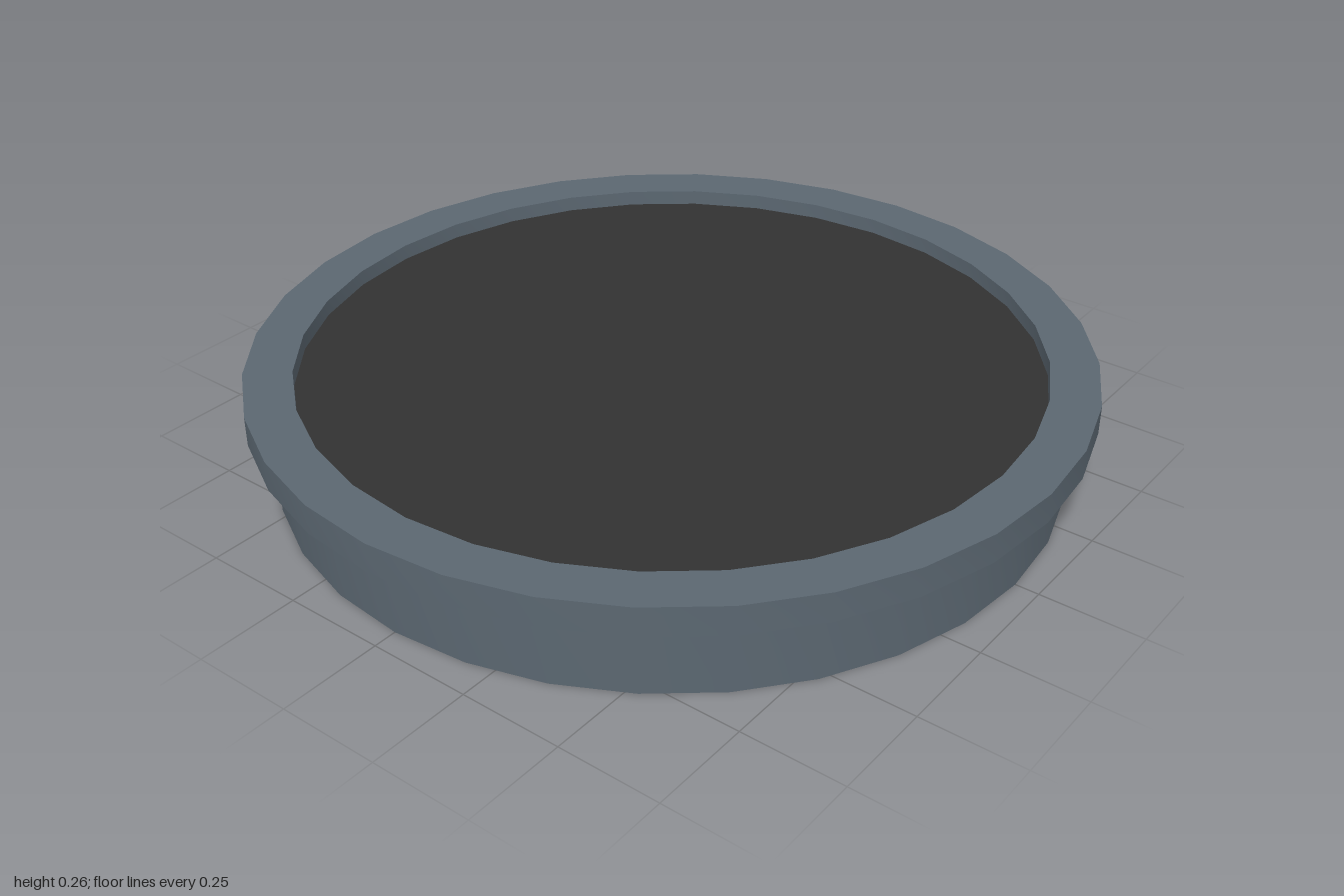
import * as THREE from 'three';
import { toCreasedNormals } from 'three/addons/utils/BufferGeometryUtils.js';

const SIDES = 32;
const WALL_RADIUS = 0.943, HOLE_RADIUS = 0.885;
const RIM_BOTTOM = 0.188, RIM_TOP = 0.26, PANEL_Y = 0.222;

export function createModel() {
  const model = new THREE.Group();
  const slate = new THREE.MeshStandardMaterial({ color: 0x5b6771, side: THREE.DoubleSide });
  slate.name = 'slate grey';
  const charcoal = new THREE.MeshStandardMaterial({ color: 0x323232, side: THREE.DoubleSide });
  charcoal.name = 'charcoal';

  const add = (name, geometry, material) => {
    const mesh = new THREE.Mesh(geometry, material);
    mesh.name = name;
    model.add(mesh);
    return mesh;
  };
  // Turned part with sharp profile corners and a smooth circumference
  const turned = (points) => toCreasedNormals(
    new THREE.LatheGeometry(points.map(([r, y]) => new THREE.Vector2(r, y)), SIDES), 0.6);

  // Thin skirt, open underneath
  add('skirtWall', turned([[WALL_RADIUS, 0], [WALL_RADIUS, RIM_BOTTOM]]), slate);

  // Overhanging square-section rim
  add('rim', turned([
    [HOLE_RADIUS, RIM_BOTTOM], [1, RIM_BOTTOM], [1, RIM_TOP],
    [HOLE_RADIUS, RIM_TOP], [HOLE_RADIUS, RIM_BOTTOM],
  ]), slate);

  // Dark panel recessed inside the rim
  const panel = add('recessedPanel',
    new THREE.CircleGeometry(HOLE_RADIUS, SIDES).rotateX(-Math.PI / 2), charcoal);
  panel.position.y = PANEL_Y;

  return model;
}
